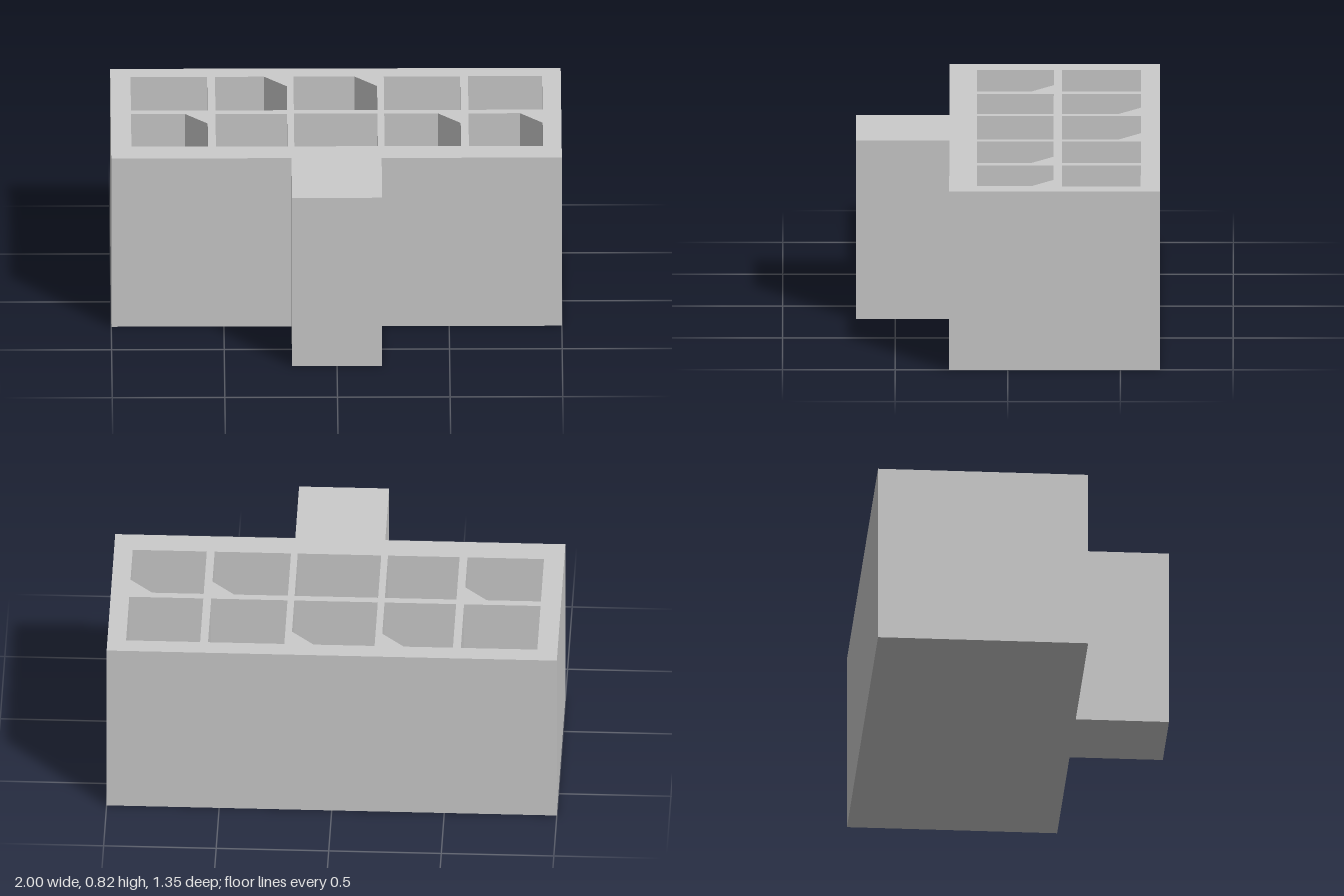
import * as THREE from 'three';
import { mergeGeometries } from 'three/addons/utils/BufferGeometryUtils.js';

const HEIGHT = 0.825, FLOOR = 0.09, CHAMFER = 0.1;

// Plan points are [x, z], counter-clockwise seen from above.
// T-shaped outline: rectangular block with a rib on the front
const OUTLINE = [[-1, 0.26], [-0.2, 0.26], [-0.2, 0.675], [0.2, 0.675],
  [0.2, 0.26], [1, 0.26], [1, -0.675], [-1, -0.675]];

// Pocket grid
const COLUMNS = [[-0.91, -0.57], [-0.535, -0.217], [-0.187, 0.184], [0.214, 0.553], [0.588, 0.917]];
const ROWS = [
  { back: -0.59, front: -0.24, keyed: [1, 2] },
  { back: -0.203, front: 0.137, keyed: [0, 3, 4] },
];

// Pocket plan; keyed pockets lose their back left corner
function pocketPlan([x0, x1], { back, front, keyed }, column) {
  const corner = keyed.includes(column)
    ? [[x1, back + CHAMFER], [x1 - CHAMFER, back]]
    : [[x1, back]];
  return [[x0, front], [x1, front], ...corner, [x0, back]];
}

const toVectors = (plan, sign) => plan.map(([x, z]) => new THREE.Vector2(x, sign * z));

// Flat horizontal face, pointing up or down
function cap(plan, y, holes = [], up = true) {
  const sign = up ? -1 : 1;
  const shape = new THREE.Shape(toVectors(plan, sign));
  shape.holes = holes.map((h) => new THREE.Path(toVectors(h, sign)));
  const geometry = new THREE.ShapeGeometry(shape).toNonIndexed();
  geometry.deleteAttribute('uv');
  return geometry.rotateX(sign * Math.PI / 2).translate(0, y, 0);
}

// Upright faces around a plan; reversed plans face inwards
function walls(plan, y0, y1) {
  const positions = [];
  plan.forEach(([ax, az], i) => {
    const [bx, bz] = plan[(i + 1) % plan.length];
    positions.push(ax, y0, az, bx, y0, bz, bx, y1, bz);
    positions.push(ax, y0, az, bx, y1, bz, ax, y1, az);
  });
  const geometry = new THREE.BufferGeometry();
  geometry.setAttribute('position', new THREE.Float32BufferAttribute(positions, 3));
  geometry.computeVertexNormals();
  return geometry;
}

export function createModel() {
  const group = new THREE.Group();
  group.name = 'connectorHousing';
  const material = new THREE.MeshStandardMaterial({ color: 0xcccccc, flatShading: true });
  const add = (name, parts) => {
    const mesh = new THREE.Mesh(mergeGeometries(parts), material);
    mesh.name = name;
    group.add(mesh);
  };

  const pockets = ROWS.flatMap((row) => COLUMNS.map((span, c) => pocketPlan(span, row, c)));

  // Outer block with front rib
  add('housingBody', [
    walls(OUTLINE, 0, HEIGHT),
    cap(OUTLINE, HEIGHT, pockets),
    cap(OUTLINE, 0, [], false),
  ]);

  // Blind pockets open at the top
  pockets.forEach((plan, i) => add(`pocket${i + 1}`, [
    walls([...plan].reverse(), FLOOR, HEIGHT),
    cap(plan, FLOOR),
  ]));

  return group;
}
